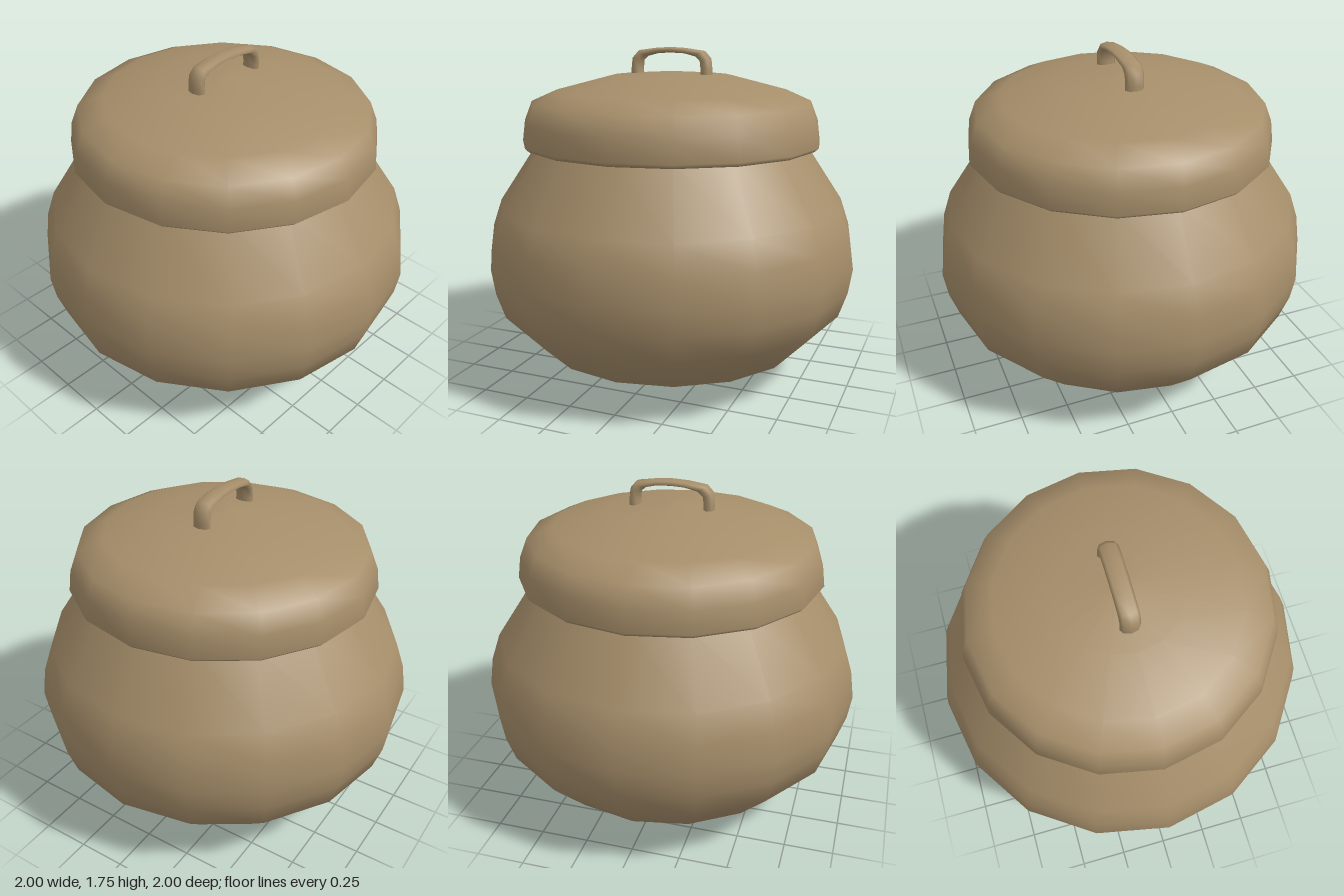
import * as THREE from 'three';

const SIDES = 16;

function turned(name, profile, material) {
  const points = profile.map(([r, y]) => new THREE.Vector2(r, y));
  const mesh = new THREE.Mesh(new THREE.LatheGeometry(points, SIDES), material);
  mesh.name = name;
  return mesh;
}

// Loop handle: oval rings between paired outer and inner outline points [z, y]
function handleGeometry() {
  const half = [
    [[0.225, 1.58], [0.16, 1.58]],
    [[0.225, 1.64], [0.167, 1.64]],
    [[0.218, 1.7], [0.162, 1.685]],
    [[0.185, 1.738], [0.135, 1.708]],
    [[0.08, 1.752], [0.07, 1.724]],
  ];
  const flip = ([z, y]) => [-z, y];
  const rings = [
    ...half,
    [[0, 1.756], [0, 1.727]],
    ...half.slice().reverse().map(([o, i]) => [flip(o), flip(i)]),
  ];
  const sides = 8, pos = [], index = [];
  rings.forEach(([o, i], k) => {
    for (let s = 0; s < sides; s++) {
      const a = (s / sides) * Math.PI * 2;
      const t = Math.cos(a) / 2;
      pos.push(
        0.05 * Math.sin(a),
        (o[1] + i[1]) / 2 + (o[1] - i[1]) * t,
        (o[0] + i[0]) / 2 + (o[0] - i[0]) * t,
      );
      if (k === 0) continue;
      const n = (s + 1) % sides, p = (k - 1) * sides, q = k * sides;
      index.push(p + s, q + s, p + n, p + n, q + s, q + n);
    }
  });
  // Outward winding: the top of the middle ring must face up
  const geo = new THREE.BufferGeometry();
  geo.setAttribute('position', new THREE.Float32BufferAttribute(pos, 3));
  geo.setIndex(index);
  geo.computeVertexNormals();
  if (geo.attributes.normal.getY(5 * sides) < 0) {
    geo.setIndex(index.reverse());
    geo.computeVertexNormals();
  }
  return geo;
}

export function createModel() {
  const group = new THREE.Group();
  group.name = 'lidded pot';
  const clay = new THREE.MeshStandardMaterial({ color: 0xa68e6a });
  clay.name = 'tan clay';

  // Bulging bowl with a narrowing neck, rim and inner wall
  group.add(turned('pot', [
    [0, 0.005], [0.405, 0.045], [0.73, 0.17], [0.935, 0.385], [0.98, 0.52],
    [1, 0.65], [0.978, 0.8], [0.93, 0.94], [0.72, 1.255], [0.69, 1.29],
    [0.65, 1.27], [0.86, 0.93], [0.92, 0.66], [0.86, 0.4], [0.66, 0.22],
    [0.36, 0.1], [0, 0.06],
  ], clay));

  // Domed lid with an overhanging lip
  group.add(turned('lid', [
    [0.68, 1.26], [0.78, 1.245], [0.8, 1.265], [0.785, 1.375], [0.745, 1.475],
    [0.61, 1.535], [0.32, 1.61], [0, 1.632],
  ], clay));

  const handle = new THREE.Mesh(handleGeometry(), clay);
  handle.name = 'lid handle';
  group.add(handle);
  return group;
}
